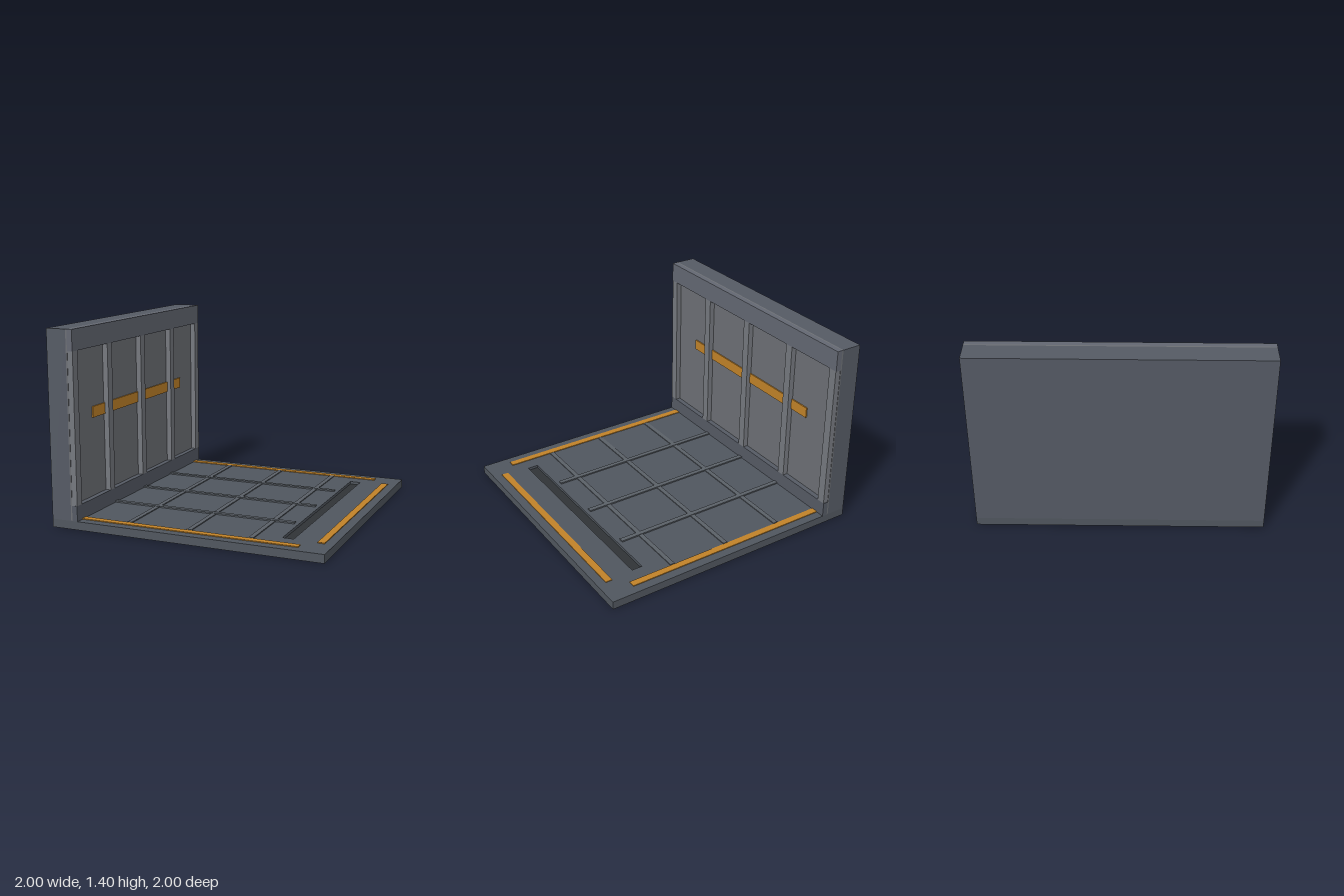
import * as THREE from 'three';

const mat = (color) => new THREE.MeshStandardMaterial({ color });

export function createModel() {
  const root = new THREE.Group();
  const floorMat = mat(0x50565e), wallMat = mat(0x555a64), railMat = mat(0x636772);
  const ribMat = mat(0x75787e), panelMat = mat(0x6c6f74), seamMat = mat(0x5a6067);
  const amber = mat(0xc08228), dark = mat(0x303336);

  // Box given by its minimum and maximum on each axis
  const box = (name, material, [x0, x1], [y0, y1], [z0, z1]) => {
    const mesh = new THREE.Mesh(new THREE.BoxGeometry(x1 - x0, y1 - y0, z1 - z0), material);
    mesh.position.set((x0 + x1) / 2, (y0 + y1) / 2, (z0 + z1) / 2);
    mesh.name = name;
    root.add(mesh);
  };
  const rect = (P, x0, x1, y0, y1) => {
    const p = new P();
    p.moveTo(x0, y0).lineTo(x1, y0).lineTo(x1, y1).lineTo(x0, y1).closePath();
    return p;
  };
  // THREE.Path methods return the path, so the outline can be chained
  const outline = rect(THREE.Shape, -1, 1, -1, 1);
  outline.holes.push(rect(THREE.Path, 0.635, 0.715, -0.78, 0.78));

  // Floor slab with a long slot, and the dark insert recessed in it
  const slab = new THREE.ExtrudeGeometry(outline, { depth: 0.06, bevelEnabled: false });
  slab.rotateX(-Math.PI / 2);
  const floor = new THREE.Mesh(slab, floorMat);
  floor.name = 'floorSlab';
  root.add(floor);
  box('slotInsert', dark, [0.635, 0.715], [0.02, 0.04], [-0.78, 0.78]);

  // Raised floor seams in both directions
  for (const c of [-0.453, 0, 0.45]) {
    box('floorSeamAcross', seamMat, [-0.8, 0.605], [0.058, 0.07], [c - 0.017, c + 0.017]);
    box('floorSeamAlong', seamMat, [c - 0.017, c + 0.017], [0.058, 0.067], [-0.88, 0.88]);
  }

  // Amber marking strips along three edges
  for (const s of [-1, 1]) {
    const z = s * 0.91;
    box('sideStrip', amber, [-0.8, 0.8], [0.058, 0.066], [z - 0.025, z + 0.025]);
  }
  box('endStrip', amber, [0.885, 0.935], [0.058, 0.066], [-0.8, 0.8]);

  // Wall core with its inner panel, rails, ribs and amber band
  box('wallCore', wallMat, [-1, -0.85], [0.06, 1.4], [-1, 1]);
  box('wallPanel', panelMat, [-0.85, -0.84], [0.06, 1.4], [-1, 1]);
  box('topRail', railMat, [-0.84, -0.8], [1.25, 1.4], [-1, 1]);
  box('bottomRail', wallMat, [-0.84, -0.8], [0.06, 0.17], [-1, 1]);
  box('wallBand', amber, [-0.845, -0.83], [0.74, 0.82], [-0.7, 0.7]);
  for (const z of [-0.965, -0.5, 0, 0.5, 0.965]) {
    box('wallRib', ribMat, [-0.84, -0.8], [0.17, 1.25], [z - 0.032, z + 0.032]);
  }
  return root;
}
